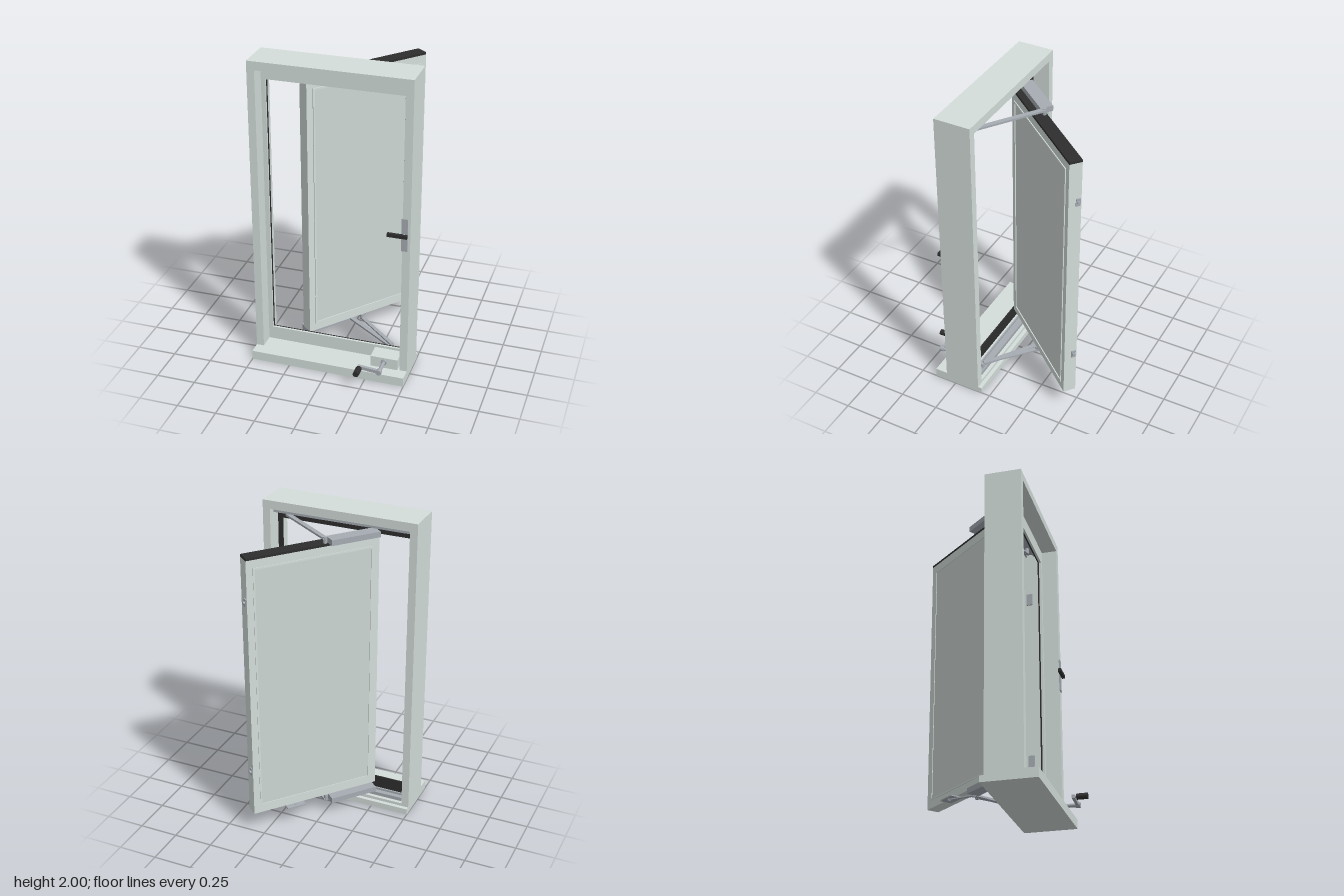
import * as THREE from 'three';

const mat = (name, color) => {
  const m = new THREE.MeshStandardMaterial({ color });
  m.name = name;
  return m;
};

export function createModel() {
  const root = new THREE.Group();
  root.name = 'casementWindow';
  const paint = mat('paleGreyPaint', 0xd4dedb);
  const pane = mat('greyPane', 0xcdd6d4);
  const metal = mat('steel', 0xa6acb3);
  const black = mat('blackRubber', 0x2e2e2e);

  const add = (parent, name, geo, material) => {
    const m = new THREE.Mesh(geo, material);
    m.name = name;
    parent.add(m);
    return m;
  };
  // box given by its limits on each axis
  const box = (parent, name, material, x0, x1, y0, y1, z0, z1) => {
    const m = add(parent, name, new THREE.BoxGeometry(x1 - x0, y1 - y0, z1 - z0), material);
    m.position.set((x0 + x1) / 2, (y0 + y1) / 2, (z0 + z1) / 2);
    return m;
  };
  // rectangular ring, outer and inner as [x0, x1, y0, y1], from z0 to z1
  const ring = (parent, name, material, o, i, z0, z1) => {
    const corners = ([a, b, c, d]) => [[a, c], [b, c], [b, d], [a, d]].map(p => new THREE.Vector2(...p));
    const shape = new THREE.Shape(corners(o));
    shape.holes.push(new THREE.Path(corners(i).reverse()));
    const geo = new THREE.ExtrudeGeometry(shape, { depth: z1 - z0, bevelEnabled: false });
    geo.translate(0, 0, z0);
    return add(parent, name, geo, material);
  };
  // cylinder centred at x, y, z along the given axis
  const rod = (parent, name, material, r, len, x, y, z, axis = 'y') => {
    const geo = new THREE.CylinderGeometry(r, r, len, 20);
    if (axis === 'z') geo.rotateX(Math.PI / 2);
    if (axis === 'x') geo.rotateZ(Math.PI / 2);
    const m = add(parent, name, geo, material);
    m.position.set(x, y, z);
    return m;
  };
  // flat bar between two points in plan
  const bar = (parent, name, material, a, b, y, w, h) => {
    const dx = b[0] - a[0], dz = b[1] - a[1];
    const m = add(parent, name, new THREE.BoxGeometry(Math.hypot(dx, dz), h, w), material);
    m.position.set((a[0] + b[0]) / 2, y, (a[1] + b[1]) / 2);
    m.rotation.y = Math.atan2(-dz, dx);
    return m;
  };

  // fixed frame with its stop, seal and sill lips
  const frame = new THREE.Group();
  frame.name = 'frame';
  root.add(frame);
  const rebate = [-0.452, 0.452, 0.06, 1.946];
  ring(frame, 'outerFrame', paint, [-0.5, 0.5, 0, 2], rebate, 0.083, 0.315);
  ring(frame, 'stop', paint, rebate, [-0.425, 0.425, 0.148, 1.858], 0.2, 0.215);
  ring(frame, 'seal', black, rebate, [-0.421, 0.421, 0.148, 1.858], 0.191, 0.2);
  box(frame, 'sillFront', paint, -0.5, 0.5, 0, 0.06, 0.315, 0.396);
  box(frame, 'sillBack', paint, -0.5, 0.5, 0, 0.04, 0.058, 0.083);

  // open sash: local x runs from the hinge side to the free edge
  const sash = new THREE.Group();
  sash.name = 'sash';
  sash.position.set(-0.241, 0, 0.139);
  sash.rotation.y = THREE.MathUtils.degToRad(50);
  root.add(sash);
  const W = 0.853, D = 0.08, Y0 = 0.14, Y1 = 1.862;
  const inset = d => [d, W - d, Y0 + d + 0.009, Y1 - d - 0.009];
  ring(sash, 'sashFrame', paint, [0, W, Y0, Y1], inset(0.05), 0, D);
  ring(sash, 'frontBead', paint, inset(0.042), inset(0.054), D, D + 0.006);
  ring(sash, 'backBead', paint, inset(0.042), inset(0.054), -0.004, 0);
  box(sash, 'pane', pane, ...inset(0.05), 0.002, D - 0.002);
  box(sash, 'topWeatherStrip', black, 0, W, Y1, Y1 + 0.015, 0, D);

  // locking points on the free edge, with their keeps on the jamb
  for (const y of [0.445, 1.597]) {
    box(sash, 'lockPlate', metal, W, W + 0.006, y - 0.025, y + 0.025, 0.007, 0.035);
    rod(sash, 'lockRoller', metal, 0.01, 0.012, W + 0.011, y, 0.021, 'x');
    box(frame, 'lockKeep', metal, 0.442, 0.452, y - 0.04, y + 0.04, 0.105, 0.145);
  }

  // sliding stays, the same at the top and the bottom
  for (const top of [true, false]) {
    const stay = new THREE.Group();
    stay.name = top ? 'topStay' : 'bottomStay';
    root.add(stay);
    const flip = y => (top ? y : 2.006 - y);
    const span = (a, b) => (top ? [a, b] : [flip(b), flip(a)]);
    box(stay, 'track', metal, -0.44, 0.44, ...span(1.936, 1.946), 0.105, 0.165);
    for (const z of [0.105, 0.155])
      box(stay, 'trackRail', metal, -0.44, 0.44, ...span(1.922, 1.936), z, z + 0.01);
    bar(stay, 'stayArm', metal, [-0.008, -0.12], [0.36, 0.137], flip(1.907), 0.03, 0.012);
    rod(stay, 'armPivot', metal, 0.012, 0.04, -0.006, flip(1.897), -0.117);
    rod(stay, 'slider', metal, 0.014, 0.04, 0.355, flip(1.917), 0.134);
    box(sash, 'stayShoe', metal, 0.015, 0.332, ...span(1.877, 1.912), -0.045, 0.035);
  }

  // winding linkage under the sash
  const linkage = new THREE.Group();
  linkage.name = 'linkage';
  root.add(linkage);
  bar(linkage, 'driveArm', metal, [0.073, -0.122], [0.35, 0.125], 0.112, 0.024, 0.01);
  bar(linkage, 'link', metal, [0.073, -0.122], [0.116, -0.311], 0.128, 0.02, 0.007);
  rod(linkage, 'elbowPivot', metal, 0.012, 0.034, 0.073, 0.118, -0.122);
  rod(linkage, 'linkPivot', metal, 0.011, 0.022, 0.116, 0.132, -0.311);
  box(sash, 'linkBracket', metal, 0.513, 0.639, 0.133, 0.14, -0.038, 0.04);

  // winder: cover, shaft, crank arm and knob
  const winder = new THREE.Group();
  winder.name = 'winder';
  root.add(winder);
  box(winder, 'winderCover', paint, 0.265, 0.44, 0.06, 0.132, 0.215, 0.32);
  rod(winder, 'collar', metal, 0.019, 0.012, 0.353, 0.104, 0.326, 'z');
  rod(winder, 'shaft', metal, 0.012, 0.12, 0.353, 0.104, 0.38, 'z');
  rod(winder, 'crankHub', metal, 0.018, 0.028, 0.353, 0.104, 0.434, 'z');
  const arm = box(winder, 'crankArm', metal, 0.216, 0.365, 0.099, 0.121, 0.424, 0.442);
  arm.rotation.z = -0.08;
  rod(winder, 'knobPin', metal, 0.009, 0.032, 0.23, 0.116, 0.438, 'z');
  rod(winder, 'knob', black, 0.019, 0.068, 0.23, 0.116, 0.486, 'z');

  // lever handle on the jamb
  const handle = new THREE.Group();
  handle.name = 'handle';
  root.add(handle);
  box(handle, 'handlePlate', metal, 0.446, 0.484, 0.915, 1.13, 0.315, 0.322);
  rod(handle, 'handleNeck', metal, 0.012, 0.012, 0.465, 1.021, 0.326, 'z');
  box(handle, 'handleLever', black, 0.364, 0.486, 1.01, 1.032, 0.326, 0.346);

  return root;
}
